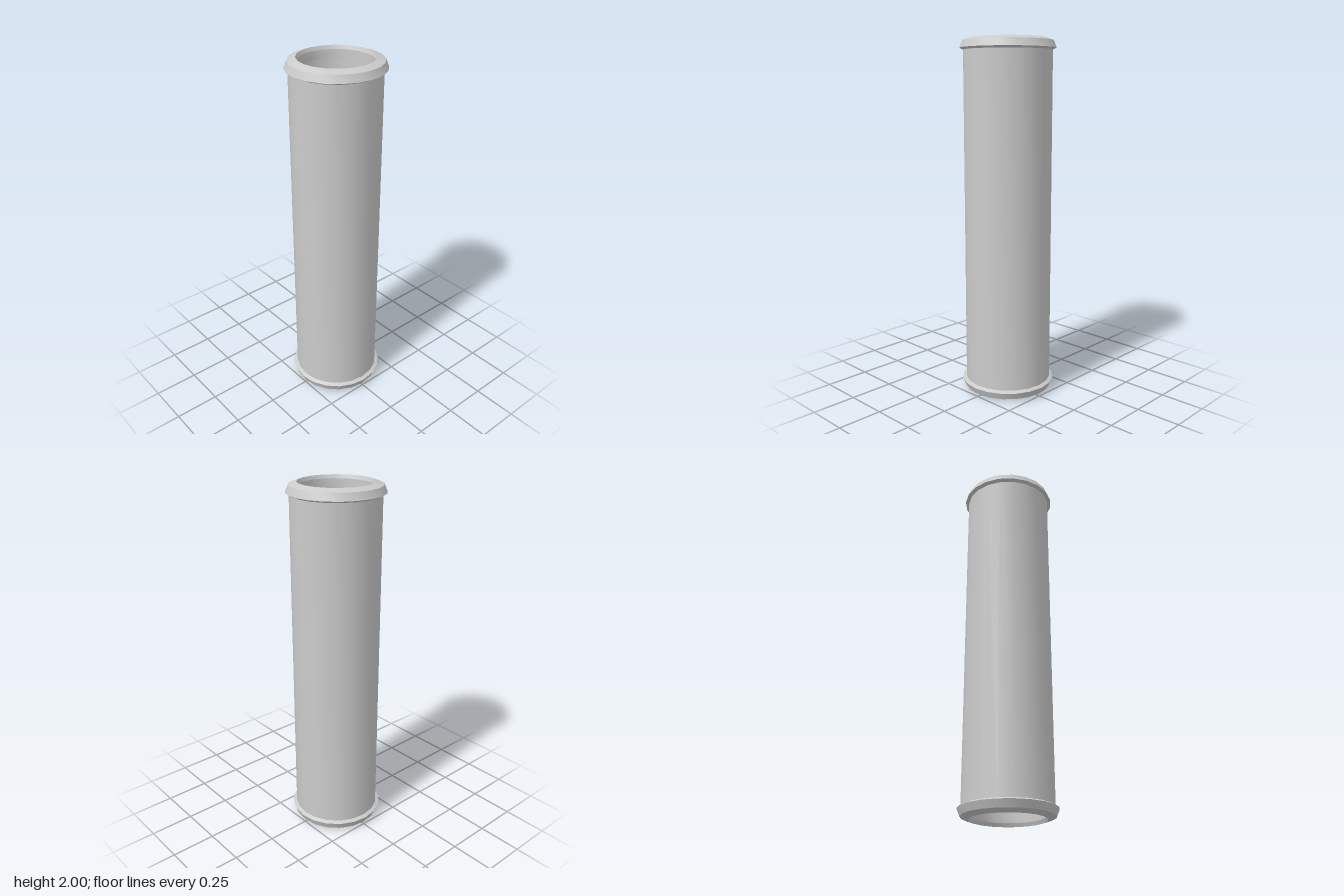
import * as THREE from 'three';
import { toCreasedNormals } from 'three/addons/utils/BufferGeometryUtils.js';

const SIDES = 20;
const HEIGHT = 2;
const material = new THREE.MeshStandardMaterial({ color: 0xcccccc });

// Revolve a closed [radius, y] profile: outside upwards, inside downwards
function revolve(name, profile) {
  const points = profile.map(([r, y]) => new THREE.Vector2(r, y));
  const geometry = toCreasedNormals(new THREE.LatheGeometry(points, SIDES), 0.33);
  const mesh = new THREE.Mesh(geometry, material);
  mesh.name = name;
  return mesh;
}

export function createModel() {
  const model = new THREE.Group();
  model.name = 'pipe';

  // Hollow tube wall
  model.add(revolve('tube', [
    [0.245, 0.05], [0.245, 1.95], [0.205, 1.95], [0.205, 0.05], [0.245, 0.05],
  ]));

  // Bevelled collar with a small undercut and an inner lip
  const collar = [
    [0.197, 1.93], [0.245, 1.935], [0.265, 1.945], [0.249, 1.985],
    [0.205, 2], [0.197, 1.98], [0.197, 1.93],
  ];
  model.add(revolve('topCollar', collar));

  // Same collar mirrored; reversing the order keeps the faces outward
  const mirrored = collar.map(([r, y]) => [r, HEIGHT - y]).reverse();
  model.add(revolve('bottomCollar', mirrored));

  return model;
}
